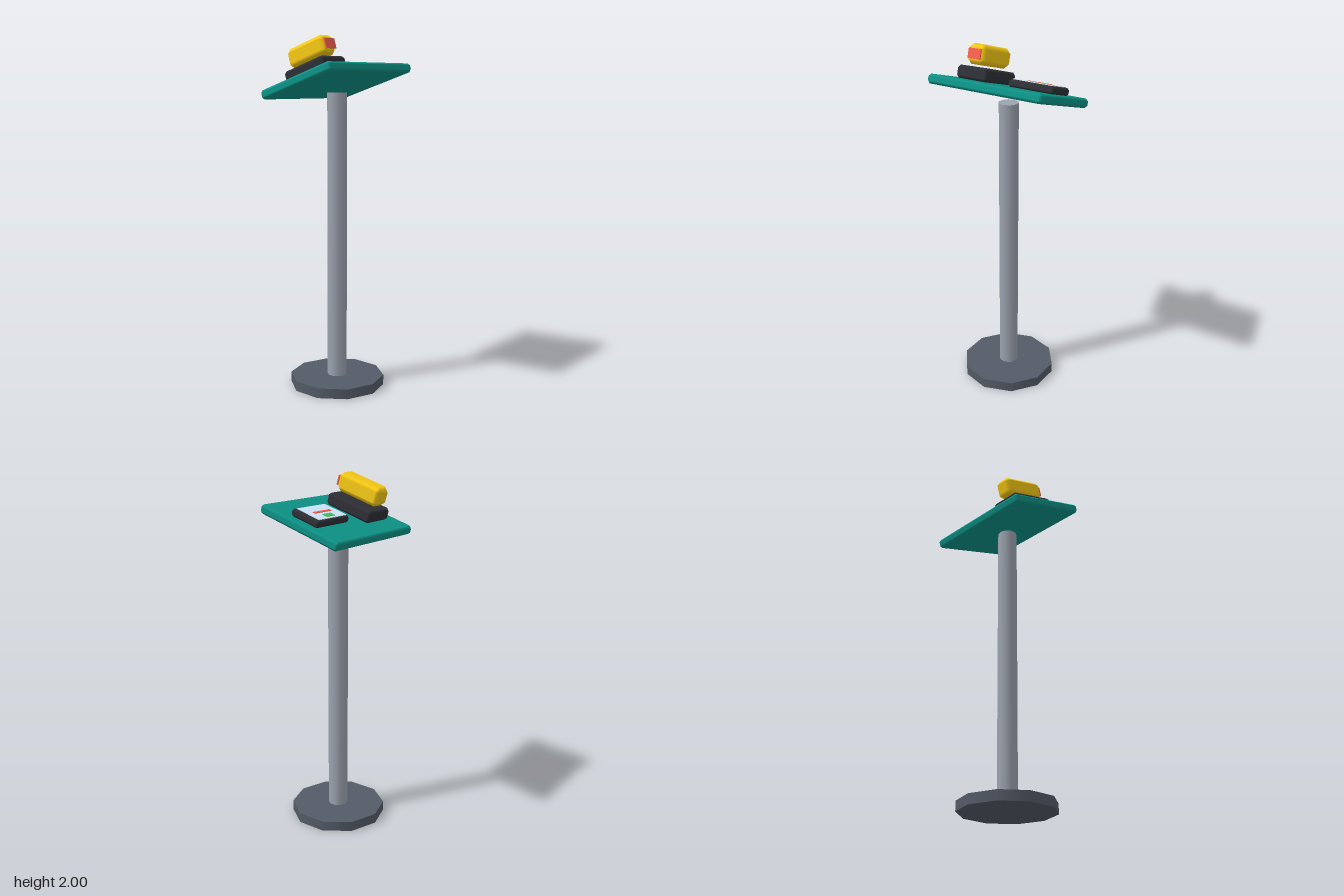
import * as THREE from 'three';

const COLORS = {
  steel: 0x9ca3af, base: 0x545b67, teal: 0x0d9488, dark: 0x2f3036,
  yellow: 0xfacc15, red: 0xf8604f, green: 0x44c455, screen: 0xd3eaff,
};

function part(name, geometry, color, x = 0, y = 0, z = 0) {
  const mesh = new THREE.Mesh(geometry, new THREE.MeshStandardMaterial({ color }));
  mesh.name = name;
  mesh.position.set(x, y, z);
  return mesh;
}

// Box with single-cut bevels and soft normals: a 3x3x3 grid whose rims are pulled in
function bevelBox(w, h, d, r) {
  const geometry = new THREE.BoxGeometry(1, 1, 1, 3, 3, 3);
  const pos = geometry.attributes.position;
  const half = [w / 2, h / 2, d / 2];
  for (let i = 0; i < pos.count; i++) {
    const p = [pos.getX(i), pos.getY(i), pos.getZ(i)];
    const outer = p.map((v) => Math.abs(v) > 0.4);
    const n = outer.filter(Boolean).length; // 1 face, 2 edge, 3 corner
    const q = p.map((v, k) => Math.sign(v) * (half[k] - (outer[k] ? r * (1 - 1 / n) : r)));
    const normal = p.map((v, k) => (outer[k] ? Math.sign(v) / Math.sqrt(n) : 0));
    pos.setXYZ(i, ...q);
    geometry.attributes.normal.setXYZ(i, ...normal);
  }
  return geometry;
}

export function createModel() {
  const model = new THREE.Group();
  model.name = 'payphoneStand';

  // Ten-sided foot and post
  model.add(part('base', new THREE.CylinderGeometry(0.272, 0.272, 0.057, 10), COLORS.base, 0, 0.0285, 0));
  model.add(part('post', new THREE.CylinderGeometry(0.056, 0.056, 1.64, 10), COLORS.steel, 0, 0.875, 0));

  // Sloping desk, front edge raised; everything on it shares the slope
  const desk = new THREE.Group();
  desk.name = 'desk';
  desk.position.y = 1.757;
  desk.rotation.x = -0.3;
  model.add(desk);
  desk.add(part('deskBoard', bevelBox(0.7, 0.052, 0.535, 0.015), COLORS.teal));

  // Cradle with handset floating just above it
  const px = -0.156;
  desk.add(part('cradle', bevelBox(0.193, 0.07, 0.303, 0.015), COLORS.dark, px, 0.062, -0.002));
  desk.add(part('handset', bevelBox(0.114, 0.11, 0.288, 0.027), COLORS.yellow, px, 0.1645, -0.002));
  desk.add(part('handsetWindow', new THREE.BoxGeometry(0.078, 0.055, 0.008), COLORS.red, px, 0.164, 0.143));

  // Tablet with screen graphics
  const tx = 0.176;
  desk.add(part('tablet', bevelBox(0.272, 0.042, 0.187, 0.012), COLORS.dark, tx, 0.046, -0.003));
  desk.add(part('screen', new THREE.BoxGeometry(0.234, 0.006, 0.155), COLORS.screen, tx - 0.002, 0.067, -0.005));
  desk.add(part('greenBlock', new THREE.BoxGeometry(0.07, 0.006, 0.031), COLORS.green, tx, 0.07, -0.052));
  desk.add(part('redBar', new THREE.BoxGeometry(0.14, 0.006, 0.016), COLORS.red, tx, 0.07, -0.006));

  return model;
}
